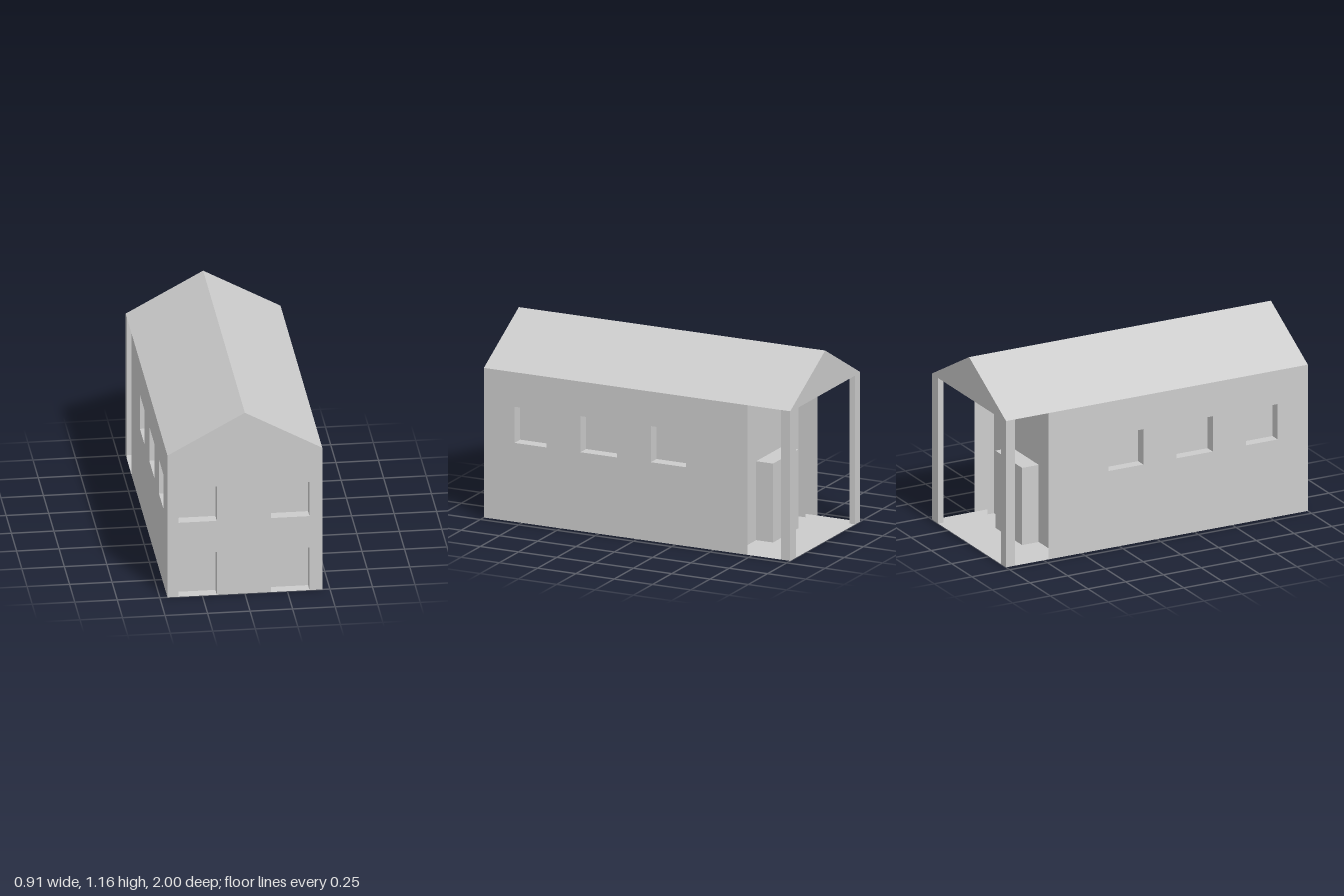
import * as THREE from 'three';

const W = 0.455, EAVE = 0.91, RIDGE = 1.16;       // half width, eave and ridge heights
const INX0 = -0.39, INX1 = 0.38, CEIL = 0.905;    // inner lining
const FRONT_IN = 0.93, PORCH = -0.63;             // inner front lining, porch back wall

export function createModel() {
  const house = new THREE.Group();
  house.name = 'house';
  const mat = new THREE.MeshStandardMaterial({ color: 0xcccccc, side: THREE.DoubleSide, flatShading: true });

  const add = (name, geo, x = 0, y = 0, z = 0) => {
    const m = new THREE.Mesh(geo, mat);
    m.name = name;
    m.position.set(x, y, z);
    house.add(m);
    return m;
  };
  const rect = (x0, x1, y0, y1) => [[x0, y0], [x1, y0], [x1, y1], [x0, y1]];
  const v2 = (pts) => pts.map(([x, y]) => new THREE.Vector2(x, y));

  // Thin upright sheet facing z
  const sheetZ = (name, z, outline, holes = []) => {
    const s = new THREE.Shape(v2(outline));
    holes.forEach((h) => s.holes.push(new THREE.Path(v2(h))));
    return add(name, new THREE.ShapeGeometry(s), 0, 0, z);
  };
  // Thin upright sheet facing x, drawn in (z, y)
  const sheetX = (name, x, outline, holes) => {
    const m = sheetZ(name, 0, outline, holes);
    m.rotation.y = -Math.PI / 2;
    m.position.x = x;
    return m;
  };
  // Thin level or sloping sheet
  const plane = (name, w, d, x, y, z, tilt = 0) => {
    const g = new THREE.PlaneGeometry(w, d).rotateX(-Math.PI / 2).rotateZ(tilt);
    return add(name, g, x, y, z);
  };
  // Window reveal: a box without its two z caps
  const reveal = (name, w, h, d, x, y, z, turn = 0) => {
    const g = new THREE.BoxGeometry(w, h, d);
    g.setIndex(Array.from(g.index.array.slice(0, 24)));
    g.clearGroups();
    add(name, g, x, y, z).rotation.y = turn;
  };

  // Floor and ceiling
  plane('floor', 2 * W, 2, 0, 0, 0);
  plane('ceiling', INX1 - INX0, FRONT_IN + 1, (INX0 + INX1) / 2, CEIL, (FRONT_IN - 1) / 2);

  // Roof slopes
  const rise = RIDGE - EAVE, slope = Math.hypot(W, rise), pitch = Math.atan2(rise, W);
  for (const s of [-1, 1]) {
    plane(s > 0 ? 'roofLeft' : 'roofRight', slope, 2, s * W / 2, (EAVE + RIDGE) / 2, 0, -s * pitch);
  }

  // Front gable: lower openings notch the base, upper ones are holes
  const cols = [[INX0, -0.165], [0.155, INX1]];
  const low = 0.275, up0 = 0.475, up1 = 0.695;
  const base = cols.flatMap(([a, b]) => [[a, 0], [a, low], [b, low], [b, 0]]);
  sheetZ('frontWall', 1, [[-W, 0], ...base, [W, 0], [W, EAVE], [0, RIDGE], [-W, EAVE]],
    cols.map(([a, b]) => rect(a, b, up0, up1)));
  sheetZ('frontPanes', FRONT_IN, rect(INX0, INX1, 0, CEIL));
  for (const [a, b] of cols) {
    for (const [y0, y1] of [[0, low], [up0, up1]]) {
      reveal('frontReveal', b - a, y1 - y0, 1 - FRONT_IN, (a + b) / 2, (y0 + y1) / 2, (1 + FRONT_IN) / 2);
    }
  }

  // Back gable with the wide porch opening
  sheetZ('backGable', -1, [[-W, 0], [INX0, 0], [INX0, CEIL], [INX1, CEIL], [INX1, 0], [W, 0],
    [W, EAVE], [0, RIDGE], [-W, EAVE]]);

  // Side walls, inner linings and open porch posts
  const wins = [[0.59, 0.8], [0.13, 0.37], [-0.32, -0.09]];
  const wy0 = 0.48, wy1 = 0.7;
  for (const [side, out, inn] of [['left', W, INX1], ['right', -W, INX0]]) {
    sheetX(side + 'Wall', out, rect(-0.72, 1, 0, EAVE), wins.map(([a, b]) => rect(a, b, wy0, wy1)));
    sheetX(side + 'Lining', inn, rect(-0.675, FRONT_IN, 0, CEIL));
    sheetX(side + 'PostOuter', out, rect(-1, -0.94, 0, EAVE));
    sheetX(side + 'PostInner', inn, rect(-1, -0.964, 0, CEIL));
    for (const [a, b] of wins) {
      reveal(side + 'Reveal', b - a, wy1 - wy0, Math.abs(out - inn),
        (out + inn) / 2, (wy0 + wy1) / 2, (a + b) / 2, Math.PI / 2);
    }
  }

  // Porch back wall with projecting door block
  sheetZ('porchWall', PORCH, rect(INX0, INX1, 0, CEIL));
  add('doorBlock', new THREE.BoxGeometry(0.33, 0.48, 0.11), -0.005, 0.24, -0.685);

  return house;
}
